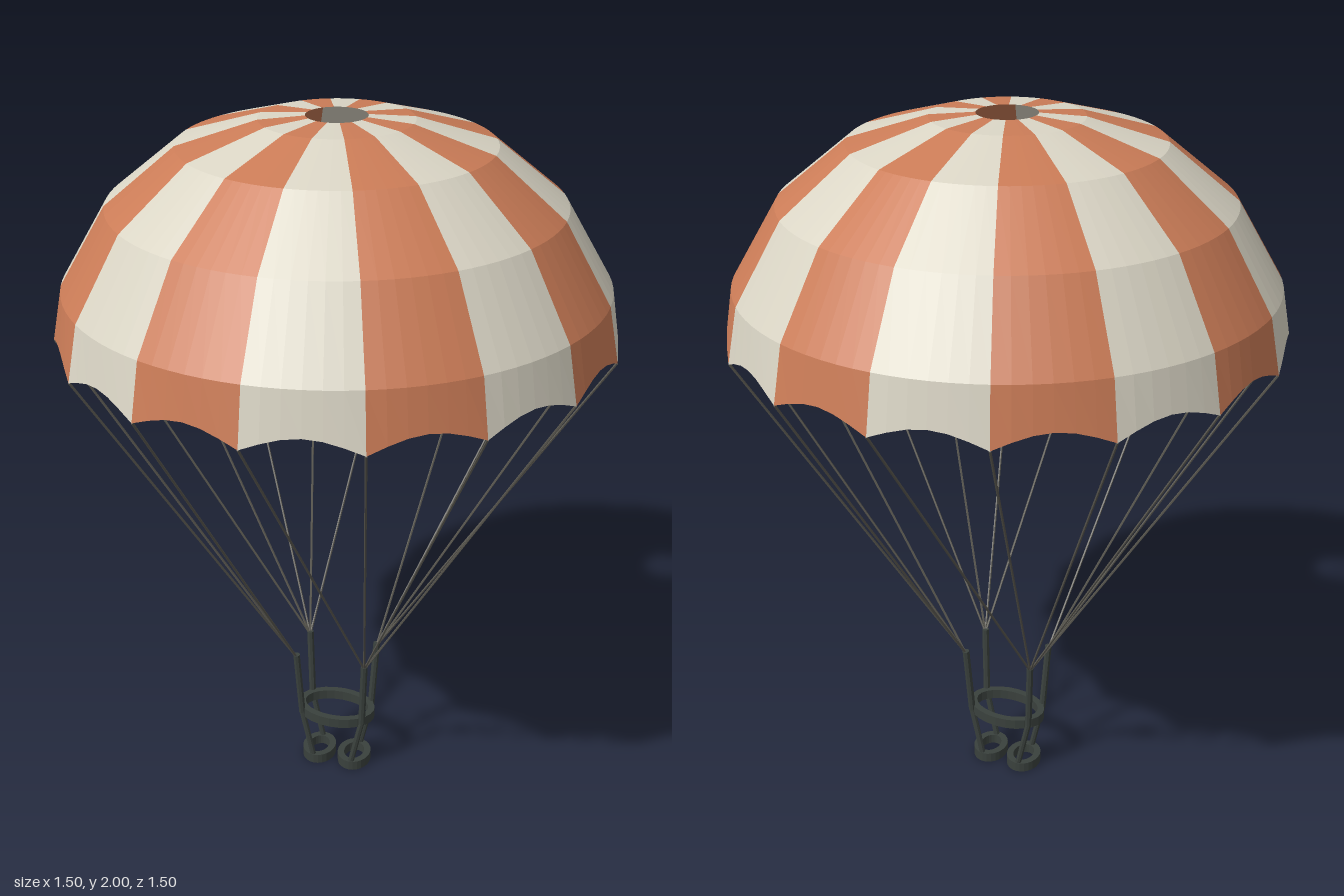
import * as THREE from 'three';

const GORES = 16, COLS = 6;
// canopy profile from vent to hem: radius, height
const PROFILE = [[0.08, 2.0], [0.2, 1.992], [0.41, 1.93], [0.595, 1.78], [0.72, 1.57], [0.75, 1.42]];

function mat(name, color, extra = {}) {
  const m = new THREE.MeshStandardMaterial({ color, flatShading: true, ...extra });
  m.name = name;
  return m;
}

// one fabric panel with a scalloped hem
function goreGeometry(index) {
  const pos = [], idx = [];
  PROFILE.forEach(([r, y], k) => {
    for (let j = 0; j <= COLS; j++) {
      const a = ((index + j / COLS) / GORES) * Math.PI * 2;
      const arch = k === PROFILE.length - 1 ? Math.sin((j / COLS) * Math.PI) : 0;
      const rr = r - 0.011 * arch;
      pos.push(rr * Math.sin(a), y + 0.038 * arch, rr * Math.cos(a));
    }
  });
  const w = COLS + 1;
  for (let k = 0; k < PROFILE.length - 1; k++) {
    for (let j = 0; j < COLS; j++) {
      const p = k * w + j;
      idx.push(p, p + w, p + w + 1, p, p + w + 1, p + 1);
    }
  }
  const g = new THREE.BufferGeometry();
  g.setAttribute('position', new THREE.Float32BufferAttribute(pos, 3));
  g.setIndex(idx);
  g.computeVertexNormals();
  return g;
}

// straight rod between two points
function rod(name, a, b, radius, sides, material) {
  const d = b.clone().sub(a);
  const mesh = new THREE.Mesh(new THREE.CylinderGeometry(radius, radius, d.length(), sides), material);
  mesh.position.copy(a).add(b).multiplyScalar(0.5);
  mesh.quaternion.setFromUnitVectors(new THREE.Vector3(0, 1, 0), d.normalize());
  mesh.name = name;
  return mesh;
}

// flat oval band lying level
function ovalBand(name, rx, rz, x, y, material) {
  const wall = 0.02, height = 0.03;
  const shape = new THREE.Shape().absellipse(0, 0, rx, rz, 0, Math.PI * 2);
  shape.holes.push(new THREE.Path().absellipse(0, 0, rx - wall, rz - wall, 0, Math.PI * 2, true));
  const g = new THREE.ExtrudeGeometry(shape, { depth: height, bevelEnabled: false, curveSegments: 12 });
  g.rotateX(-Math.PI / 2);
  const mesh = new THREE.Mesh(g, material);
  mesh.position.set(x, y, 0);
  mesh.name = name;
  return mesh;
}

export function createModel() {
  const model = new THREE.Group();
  model.name = 'parachute';
  const cream = mat('cream fabric', 0xdad5c5, { side: THREE.DoubleSide });
  const orange = mat('orange fabric', 0xcb7c57, { side: THREE.DoubleSide });
  const cord = mat('cord', 0x5a5850);
  const webbing = mat('webbing', 0x3a413d);

  // canopy
  const canopy = new THREE.Group();
  canopy.name = 'canopy';
  for (let i = 0; i < GORES; i++) {
    const gore = new THREE.Mesh(goreGeometry(i), i % 2 ? orange : cream);
    gore.name = 'gore';
    canopy.add(gore);
  }

  // suspension lines, four gathered at each riser
  const lines = new THREE.Group();
  lines.name = 'suspensionLines';
  for (let i = 0; i < GORES; i++) {
    const a = (i / GORES) * Math.PI * 2;
    const sx = i < GORES / 2 ? 1 : -1;
    const sz = Math.cos(a) > 0.01 ? 1 : -1;
    lines.add(rod('suspensionLine',
      new THREE.Vector3(0.748 * Math.sin(a), 1.42, 0.748 * Math.cos(a)),
      new THREE.Vector3(sx * 0.105, 0.385, sz * 0.065), 0.0035, 5, cord));
  }

  // harness: risers, waist band and leg loops
  const harness = new THREE.Group();
  harness.name = 'harness';
  for (const sx of [1, -1]) {
    for (const sz of [1, -1]) {
      const top = new THREE.Vector3(sx * 0.105, 0.395, sz * 0.066);
      const waist = new THREE.Vector3(sx * 0.094, 0.18, sz * 0.051);
      const hip = new THREE.Vector3(sx * 0.058, 0.015, sz * 0.05);
      harness.add(rod('riser', waist, top, 0.0105, 8, webbing));
      harness.add(rod('legStrap', hip, waist, 0.009, 8, webbing));
    }
    harness.add(ovalBand('legLoop', 0.05, 0.06, sx * 0.056, 0, webbing));
  }
  harness.add(ovalBand('waistBand', 0.118, 0.081, 0, 0.165, webbing));

  model.add(canopy, lines, harness);
  return model;
}
